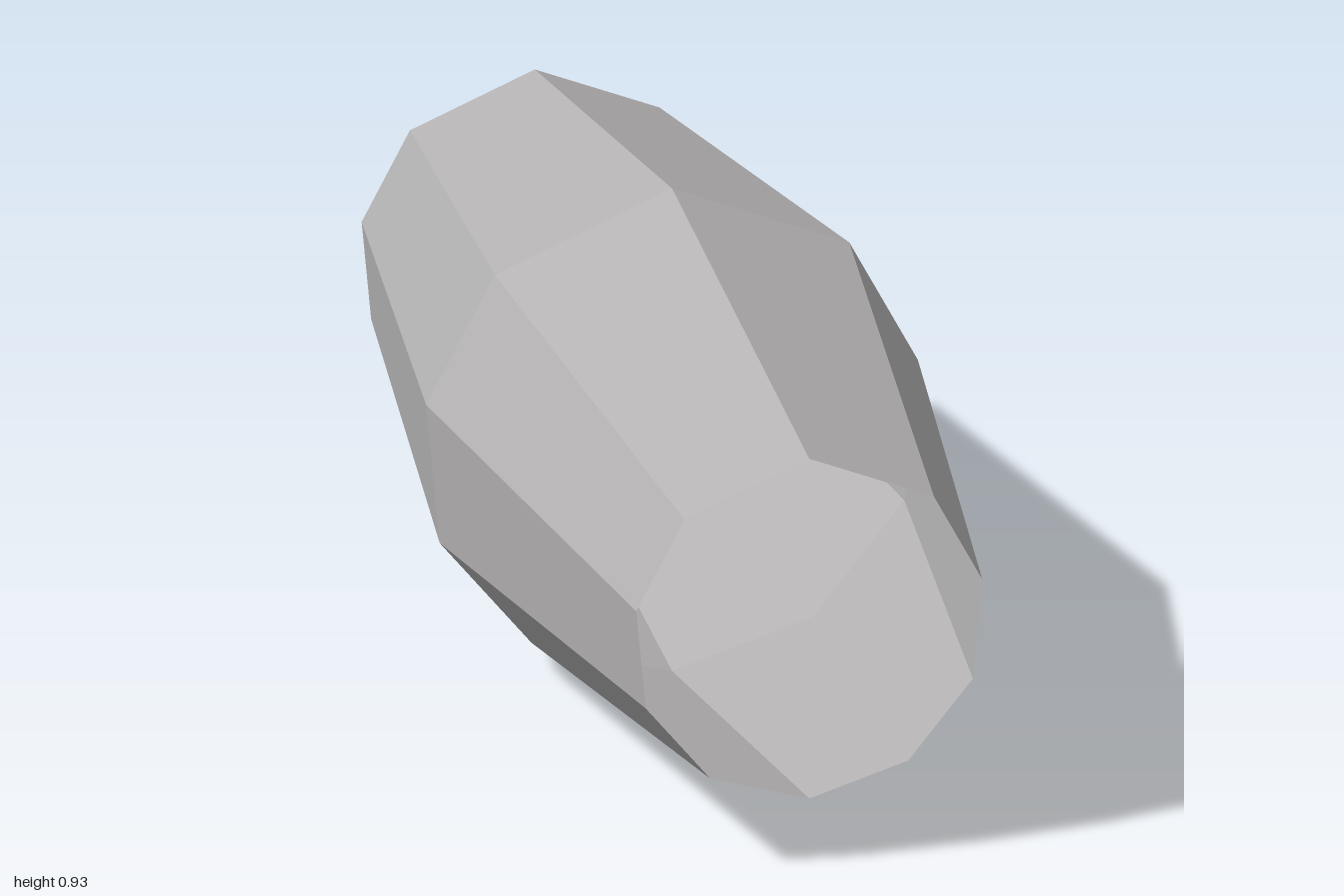
import * as THREE from 'three';

// Half of the widest ring, from top to bottom, as [x, y]
const HALF_RING = [[0, 0.93], [0.328, 0.795], [0.455, 0.557], [0.43, 0.289], [0.26, 0.081], [0, 0.002]];
const CENTRE_Y = 0.438;
// Cross-sections along the tube: [z, scale]
const SECTIONS = [[1, 0.704], [0, 1], [-1, 0.704]];

// Skin closed rings of equal point count into an open tube
function loft(rings) {
  const count = rings[0].length;
  const index = [];
  for (let r = 0; r < rings.length - 1; r++) {
    for (let i = 0; i < count; i++) {
      const next = (i + 1) % count;
      const a = r * count + i, b = r * count + next;
      const c = b + count, d = a + count;
      index.push(a, b, c, a, c, d);
    }
  }
  const indexed = new THREE.BufferGeometry();
  indexed.setAttribute('position', new THREE.Float32BufferAttribute(rings.flat(2), 3));
  indexed.setIndex(index);
  const geometry = indexed.toNonIndexed();
  geometry.computeVertexNormals();
  return geometry;
}

export function createModel() {
  const group = new THREE.Group();
  group.name = 'facetedTube';

  const grey = new THREE.MeshStandardMaterial({ color: 0xb4b2b2, flatShading: true, side: THREE.DoubleSide });
  grey.name = 'grey';

  // Mirror the half profile to close the ten-sided ring
  const mirrored = HALF_RING.slice(1, -1).reverse().map(([x, y]) => [-x, y]);
  const profile = [...HALF_RING, ...mirrored];

  // Open barrel, widest in the middle and tapering to both ends
  const rings = SECTIONS.map(([z, s]) => profile.map(([x, y]) => [x * s, CENTRE_Y + (y - CENTRE_Y) * s, z]));
  const shell = new THREE.Mesh(loft(rings), grey);
  shell.name = 'barrelShell';
  group.add(shell);

  return group;
}
